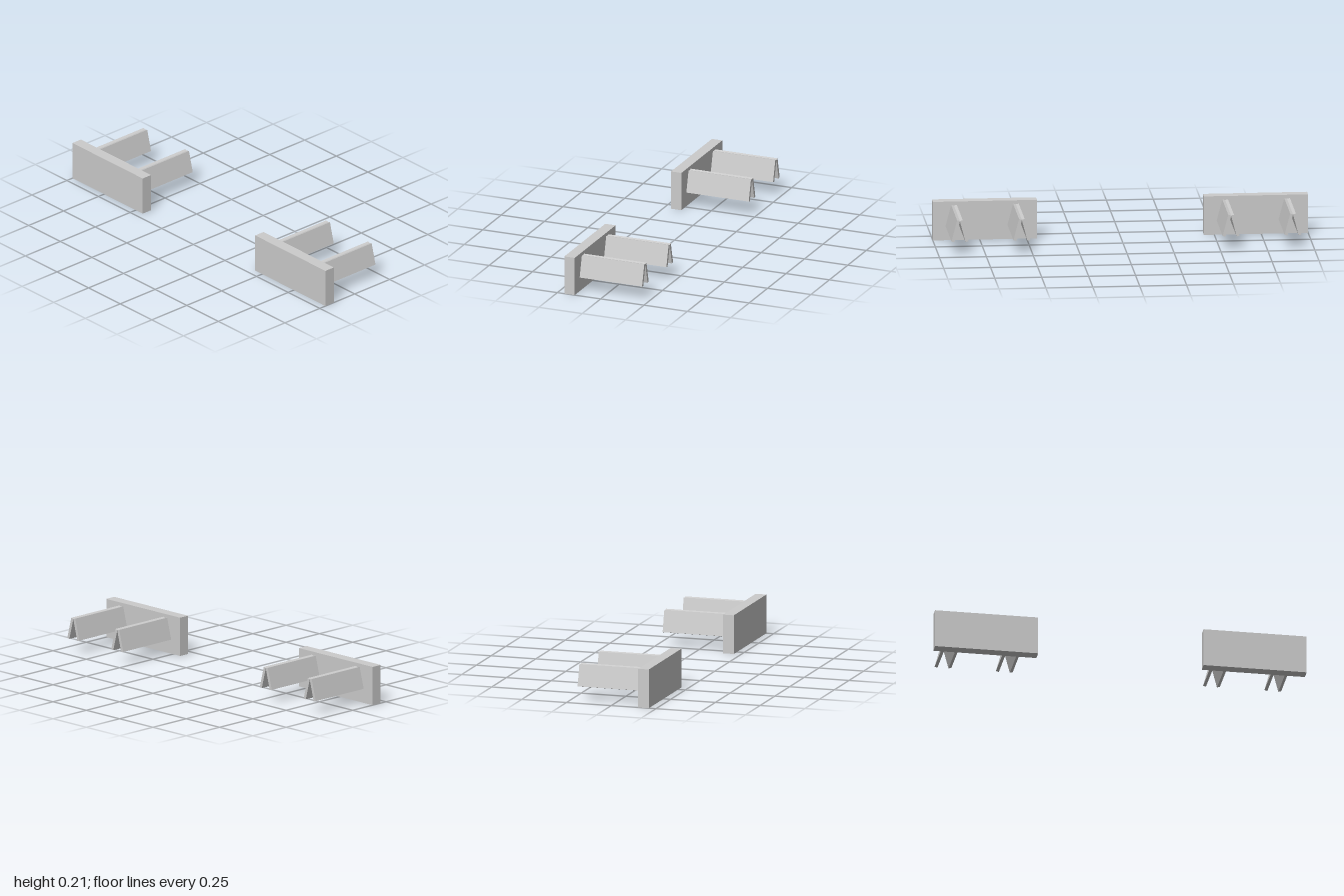
import * as THREE from 'three';

const material = new THREE.MeshStandardMaterial({ color: 0xcccccc, flatShading: true });

function box(name, w, h, d, x, y, z) {
  const mesh = new THREE.Mesh(new THREE.BoxGeometry(w, h, d), material);
  mesh.name = name;
  mesh.position.set(x, y, z);
  return mesh;
}

// Pair of thin slats leaning together into an upside-down V
function createClip(x) {
  const clip = new THREE.Group();
  clip.name = 'clip';
  const lean = Math.atan2(0.03, 0.115);
  for (const side of [-1, 1]) {
    const slat = box('clipSlat', 0.016, 0.119, 0.36, side * 0.0223, 0.1325, -0.03);
    slat.rotation.z = side * lean;
    clip.add(slat);
  }
  clip.position.x = x;
  return clip;
}

// Face plate with two clips behind it
function createBracket(name, x) {
  const bracket = new THREE.Group();
  bracket.name = name;
  bracket.add(box('facePlate', 0.555, 0.21, 0.06, 0, 0.105, 0.18));
  for (const side of [-1, 1]) bracket.add(createClip(side * 0.165));
  bracket.position.x = x;
  return bracket;
}

export function createModel() {
  const model = new THREE.Group();
  model.name = 'clipBrackets';
  model.add(createBracket('leftBracket', 0.7225), createBracket('rightBracket', -0.7225));
  return model;
}
